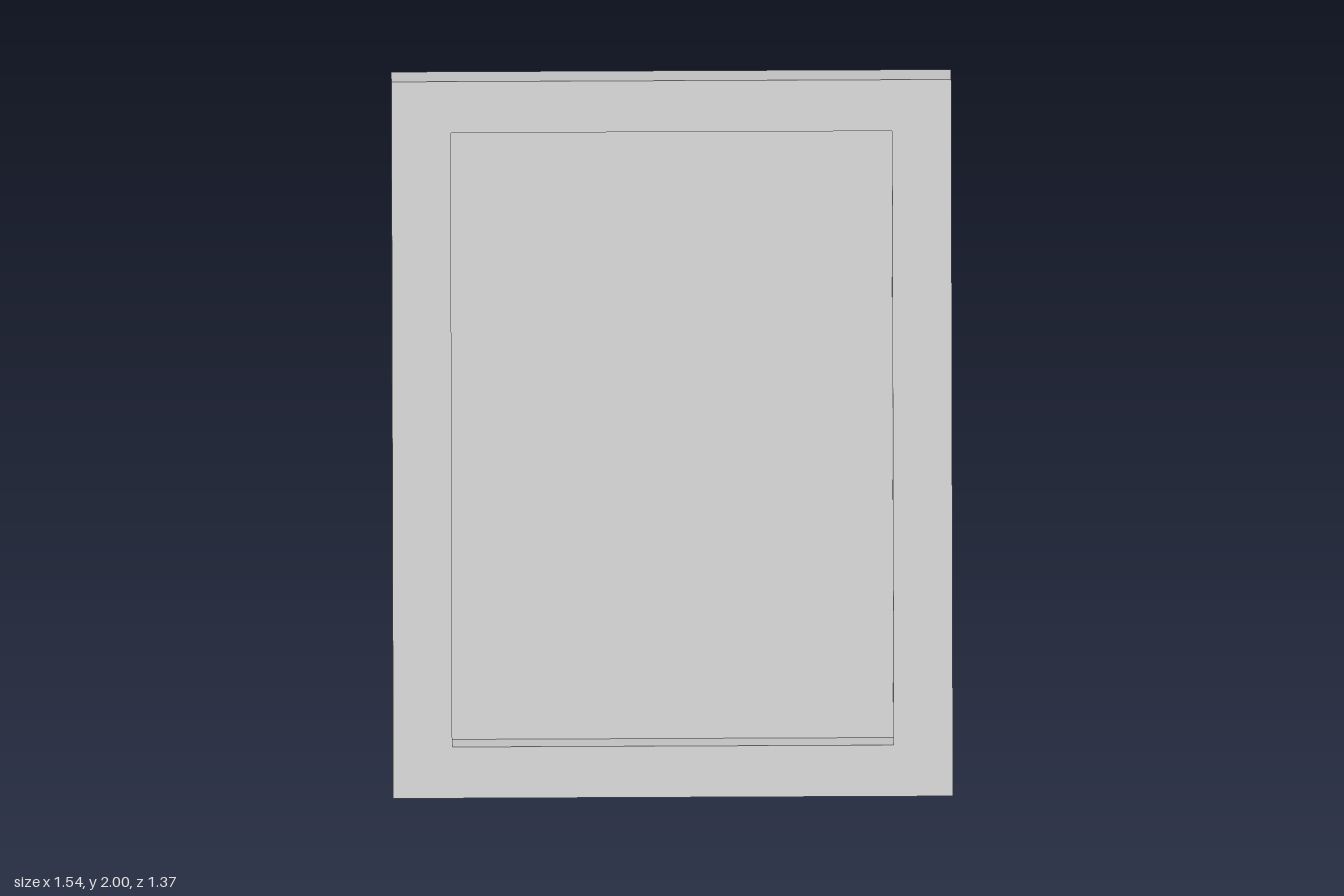
import * as THREE from 'three';

const grey = new THREE.MeshStandardMaterial({ color: 0xcccccc, flatShading: true });
const deg = THREE.MathUtils.degToRad;

// Flat shape through the given points, extruded with sharp edges.
function plate(name, points, depth, hole) {
  const shape = new THREE.Shape(points.map(([x, y]) => new THREE.Vector2(x, y)));
  if (hole) shape.holes.push(new THREE.Path(hole.map(([x, y]) => new THREE.Vector2(x, y))));
  const mesh = new THREE.Mesh(new THREE.ExtrudeGeometry(shape, { depth, bevelEnabled: false }), grey);
  mesh.name = name;
  return mesh;
}

const rect = (halfWidth, y0, y1) => [[-halfWidth, y0], [halfWidth, y0], [halfWidth, y1], [-halfWidth, y1]];

export function createModel() {
  const model = new THREE.Group();
  model.name = 'pictureFrame';

  const height = 2.026, thickness = 0.119, recess = 0.09, margin = 0.145;
  const opening = rect(0.607, margin, height - margin);

  // Frame leaning back, pivoting on its lower rear edge
  const frame = new THREE.Group();
  frame.name = 'frame';
  frame.add(plate('border', rect(0.77, 0, height), thickness, opening));
  frame.add(plate('picturePanel', opening, thickness - recess, null));
  frame.position.set(0, 0.01, 0.57);
  frame.rotation.x = deg(-15);
  model.add(frame);

  // Support leg swung out behind, its upper end resting on the back
  const legWidth = 0.086;
  const leg = plate('supportLeg', [
    [-0.397, 0.735], [0.488, 0.01], [0.836, 0], [0.708, 0.32], [-0.293, 1.105],
  ], legWidth);
  leg.geometry.translate(0, 0, -legWidth);
  leg.position.x = -0.1;
  leg.rotation.y = deg(125);
  model.add(leg);

  return model;
}
